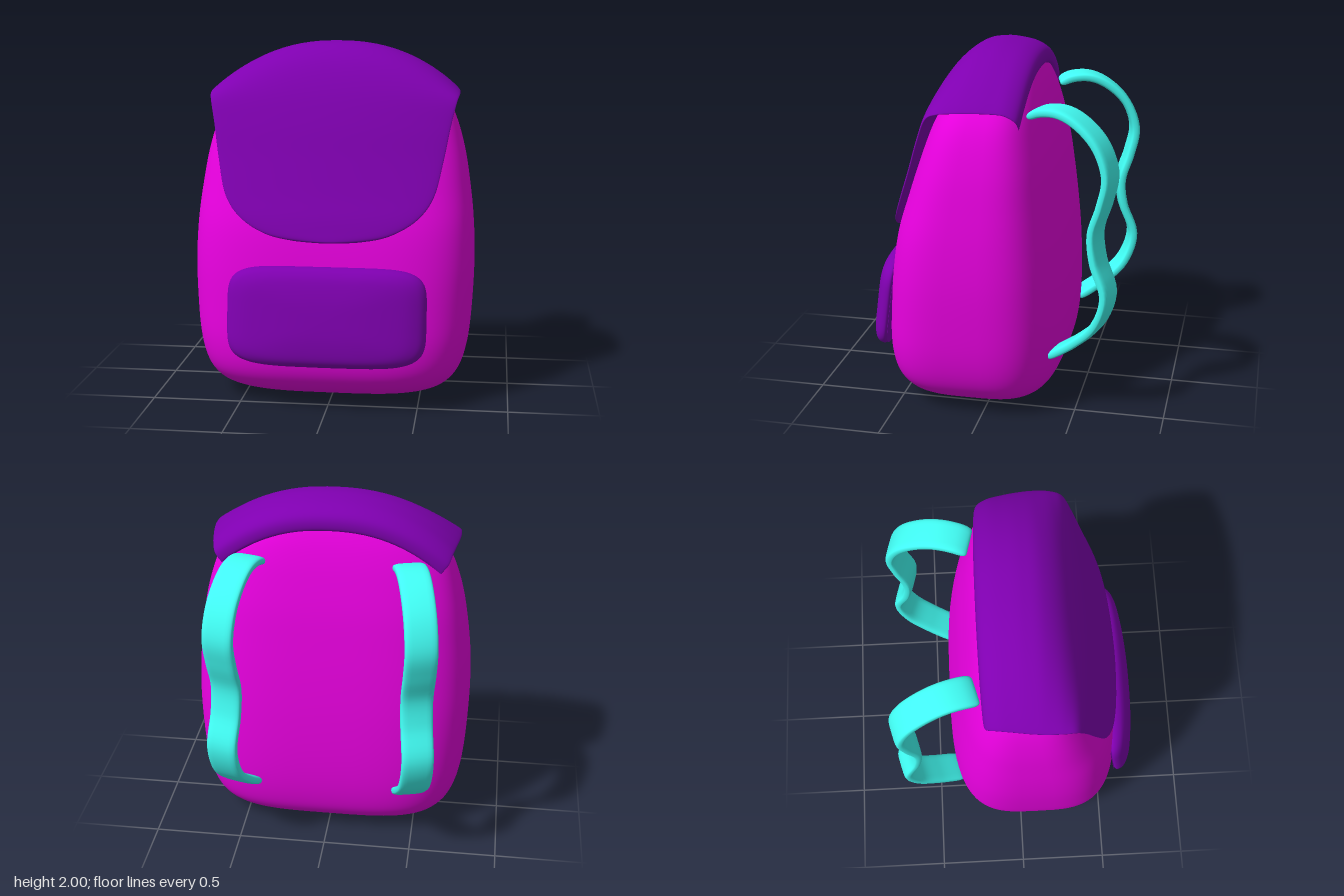
import * as THREE from 'three';

const spow = (x, p) => Math.sign(x) * Math.pow(Math.abs(x), p);

// Smooth interpolation through the rows of a small table, t from 0 to 1
function spline(table, t) {
  const f = t * (table.length - 1);
  const i = Math.min(Math.floor(f), table.length - 2);
  const k = f - i;
  const row = (j) => table[Math.max(0, Math.min(table.length - 1, j))];
  return table[i].map((p1, c) => {
    const p0 = row(i - 1)[c], p2 = row(i + 1)[c], p3 = row(i + 2)[c];
    const m1 = (p2 - p0) / 2, m2 = (p3 - p1) / 2;
    return p1 + k * (m1 + k * (3 * (p2 - p1) - 2 * m1 - m2 + k * (2 * (p1 - p2) + m1 + m2)));
  });
}

// Closed rings fn(t, angle) joined into a smooth skin that faces outward
function loft(fn, rows, cols) {
  const pos = [], index = [];
  for (let i = 0; i <= rows; i++)
    for (let j = 0; j < cols; j++) pos.push(...fn(i / rows, (j / cols) * Math.PI * 2));
  for (let i = 0; i < rows; i++)
    for (let j = 0; j < cols; j++) {
      const a = i * cols + j, b = i * cols + ((j + 1) % cols);
      index.push(a, a + cols, b, b, a + cols, b + cols);
    }
  const at = (n) => new THREE.Vector3(pos[n * 3], pos[n * 3 + 1], pos[n * 3 + 2]);
  let volume = 0;
  for (let n = 0; n < index.length; n += 3)
    volume += at(index[n]).dot(at(index[n + 1]).cross(at(index[n + 2])));
  if (volume < 0) index.reverse();
  const geo = new THREE.BufferGeometry();
  geo.setAttribute('position', new THREE.Float32BufferAttribute(pos, 3));
  geo.setIndex(index);
  geo.computeVertexNormals();
  return geo;
}

// Body rows: height, half width, front z, back z
const BODY = [
  [0, 0, 0.1, 0.1], [0.004, 0.25, 0.24, -0.06], [0.025, 0.46, 0.36, -0.19],
  [0.07, 0.61, 0.47, -0.3], [0.13, 0.69, 0.54, -0.355], [0.22, 0.74, 0.583, -0.385],
  [0.36, 0.772, 0.6, -0.402], [0.55, 0.788, 0.592, -0.405], [0.78, 0.795, 0.574, -0.395],
  [1.0, 0.785, 0.54, -0.375], [1.2, 0.762, 0.48, -0.35], [1.4, 0.728, 0.415, -0.32],
  [1.58, 0.675, 0.35, -0.28], [1.7, 0.61, 0.29, -0.247], [1.8, 0.515, 0.23, -0.21],
  [1.88, 0.38, 0.155, -0.165], [1.93, 0.22, 0.08, -0.09], [1.942, 0, 0.01, 0.01],
];
function bodyPoint(t, angle) {
  const [y, w, front, back] = spline(BODY, t);
  const e = 2 / (3.7 - 0.7 * t);
  return [w * spow(Math.cos(angle), e), y,
    (front + back) / 2 + ((front - back) / 2) * spow(Math.sin(angle), e)];
}

// Flap rows from back to front tip: half width, centre y, centre z, side drop, side setback
const FLAP = [
  [0.605, 1.855, -0.195, 0.22, 0], [0.645, 1.92, -0.183, 0.235, 0], [0.665, 1.958, -0.125, 0.235, 0],
  [0.68, 1.977, -0.04, 0.245, 0], [0.692, 1.98, 0.04, 0.247, 0], [0.7, 1.96, 0.13, 0.23, 0],
  [0.698, 1.885, 0.225, 0.165, 0], [0.685, 1.75, 0.308, 0.065, 0.015], [0.655, 1.57, 0.378, 0.015, 0.03],
  [0.622, 1.38, 0.436, 0, 0.03], [0.575, 1.19, 0.495, 0, 0.02], [0.487, 1.07, 0.535, 0, 0.01],
  [0.345, 0.987, 0.557, 0, 0], [0.185, 0.951, 0.566, 0, 0], [0, 0.94, 0.569, 0, 0],
];
function flapSheet(t, u) {
  const [w, y, z, drop, setback] = spline(FLAP, t);
  const a = Math.abs(u);
  return new THREE.Vector3(w * u, y - drop * Math.pow(a, 2.3), z - setback * a * a);
}
function flapPoint(t, angle) {
  const u = Math.cos(angle), d = 0.004;
  const tc = Math.min(0.985, Math.max(d, t)), uc = u * 0.99;
  const across = flapSheet(tc, uc + d).sub(flapSheet(tc, uc - d));
  const along = flapSheet(tc + d, uc).sub(flapSheet(tc - d, uc));
  const normal = along.cross(across).normalize();
  const taper = Math.sqrt(Math.max(0, 1 - Math.pow(Math.abs(2 * t - 1), 14)));
  return flapSheet(t, u).addScaledVector(normal, 0.023 * taper * spow(Math.sin(angle), 0.85)).toArray();
}

// Pocket rows from back to front: outline scale, z
const POCKET = [
  [0, 0.585], [0.9, 0.585], [0.975, 0.59], [1, 0.606], [0.98, 0.635],
  [0.91, 0.662], [0.75, 0.684], [0.4, 0.698], [0, 0.701],
];
function pocketPoint(t, angle) {
  const [s, z] = spline(POCKET, t);
  const x = 0.55 * s * spow(Math.cos(angle), 0.4);
  const y = 0.273 * s * spow(Math.sin(angle), 0.4);
  return [x, 0.537 + y, z - 0.13 * y - 0.026 * (x / 0.55) ** 2];
}

// Strap centre line: y, z
const STRAP = [
  [1.68, -0.23], [1.71, -0.3], [1.714, -0.4], [1.672, -0.5], [1.56, -0.615], [1.4, -0.673],
  [1.24, -0.646], [1.08, -0.6], [0.92, -0.616], [0.73, -0.678], [0.55, -0.624],
  [0.43, -0.51], [0.32, -0.36],
];
const strapPath = new THREE.CatmullRomCurve3(
  STRAP.map(([y, z]) => new THREE.Vector3(0.428 + 0.26 * (-z - 0.24), y, z)));
const strapSide = new THREE.Vector3(0.968, 0, 0.252);
function strapPoint(t, angle, mirror) {
  // Rings bunch up at both ends, where the band is rounded off
  const s = 0.5 - 0.5 * Math.cos(t * Math.PI);
  const end = Math.sqrt(Math.max(0, 1 - Math.pow(Math.abs(2 * s - 1), 50)));
  const normal = strapPath.getTangentAt(s).cross(strapSide).normalize();
  const width = 0.089 * (0.75 + 0.25 * end) * Math.min(1, end * 50);
  const p = strapPath.getPointAt(s)
    .addScaledVector(strapSide, width * spow(Math.cos(angle), 0.45))
    .addScaledVector(normal, 0.026 * end * spow(Math.sin(angle), 0.6));
  return [p.x * mirror, p.y, p.z];
}

export function createModel() {
  const group = new THREE.Group();
  const magenta = new THREE.MeshStandardMaterial({ color: 0xe800df });
  const purple = new THREE.MeshStandardMaterial({ color: 0x7f00b0 });
  const teal = new THREE.MeshStandardMaterial({ color: 0x42fff6 });
  const add = (name, geometry, material) => {
    const mesh = new THREE.Mesh(geometry, material);
    mesh.name = name;
    group.add(mesh);
  };

  add('body', loft(bodyPoint, 85, 96), magenta);
  add('topFlap', loft(flapPoint, 98, 80), purple);
  add('frontPocket', loft(pocketPoint, 40, 80), purple);
  for (const [name, mirror] of [['leftStrap', 1], ['rightStrap', -1]])
    add(name, loft((t, a) => strapPoint(t, a, mirror), 90, 24), teal);
  return group;
}
